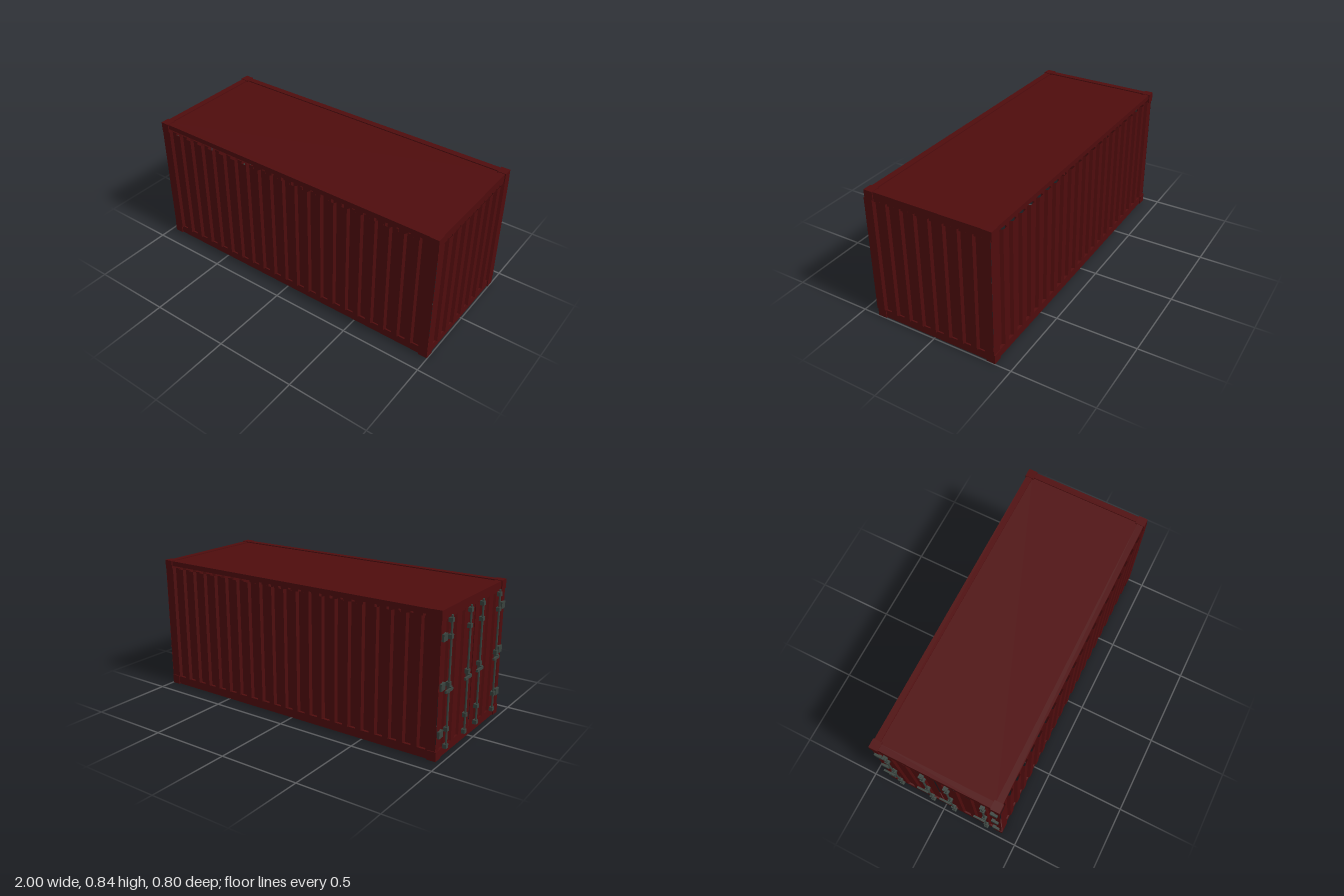
import * as THREE from 'three';

const paint = new THREE.MeshStandardMaterial({ color: 0x4f0c0d, side: THREE.DoubleSide });
paint.name = 'dark red paint';
const steel = new THREE.MeshStandardMaterial({ color: 0x38423d });
steel.name = 'dark grey steel';

// Box given by its minimum and maximum corners
function box(parent, name, mat, [x0, y0, z0], [x1, y1, z1]) {
  const m = new THREE.Mesh(new THREE.BoxGeometry(x1 - x0, y1 - y0, z1 - z0), mat);
  m.position.set((x0 + x1) / 2, (y0 + y1) / 2, (z0 + z1) / 2);
  m.name = name;
  parent.add(m);
  return m;
}

// Trapezoid-corrugated sheet facing +z: ridges at z = 0, recesses at z = -depth
function corrugated(name, length, y0, y1, count, pitch, depth) {
  const pts = [[-length / 2, 0]];
  for (let i = 0; i < count; i++) {
    const c = (i - (count - 1) / 2) * pitch;
    pts.push([c - pitch * 0.3, 0], [c - pitch * 0.2, -depth],
      [c + pitch * 0.2, -depth], [c + pitch * 0.3, 0]);
  }
  pts.push([length / 2, 0]);
  const v = [];
  for (let i = 0; i + 1 < pts.length; i++) {
    const [a, d] = pts[i], [b, e] = pts[i + 1];
    v.push(a, y0, d, b, y0, e, b, y1, e, a, y0, d, b, y1, e, a, y1, d);
  }
  const g = new THREE.BufferGeometry();
  g.setAttribute('position', new THREE.Float32BufferAttribute(v, 3));
  g.computeVertexNormals();
  const m = new THREE.Mesh(g, paint);
  m.name = name;
  return m;
}

export function createModel() {
  const model = new THREE.Group();
  model.name = 'shippingContainer';
  const X0 = -0.97, X1 = 0.997, Z0 = -0.4, Z1 = 0.397, H = 0.838;
  const midX = (X0 + X1) / 2;

  // Corrugated walls
  const walls = new THREE.Group();
  walls.name = 'walls';
  model.add(walls);
  const front = corrugated('frontWall', 1.962, 0.05, 0.79, 21, 0.0895, 0.018);
  front.position.set(midX + 0.004, 0, 0.4);
  const back = corrugated('backWall', 1.962, 0.05, 0.79, 21, 0.0895, 0.018);
  back.position.set(midX + 0.004, 0, -0.395);
  back.rotation.y = Math.PI;
  const end = corrugated('endWall', 0.795, 0.05, 0.79, 8, 0.0903, 0.018);
  end.position.set(1, 0, 0.0025);
  end.rotation.y = Math.PI / 2;
  walls.add(front, back, end);

  // Corner castings
  const castings = new THREE.Group();
  castings.name = 'cornerCastings';
  model.add(castings);
  for (const x of [X0, X1 - 0.055])
    for (const z of [Z0, Z1 - 0.056])
      for (const y of [0, H - 0.056])
        box(castings, 'cornerCasting', paint, [x, y, z], [x + 0.055, y + 0.056, z + 0.056]);

  // Bottom and top frame rails; the long top rails leave a slot above the walls
  const frame = new THREE.Group();
  frame.name = 'frameRails';
  model.add(frame);
  const w = 0.045, s = 0.006;
  for (const [y0, y1, yEnd] of [[0.002, 0.053, 0.002], [0.805, H - 0.003, 0.777]]) {
    box(frame, 'frontRail', paint, [X0 + 0.05, y0, Z1 - w], [X1 - 0.05, y1, Z1 - s]);
    box(frame, 'backRail', paint, [X0 + 0.05, y0, Z0 + s], [X1 - 0.05, y1, Z0 + w]);
    box(frame, 'endRail', paint, [X1 - w, yEnd, Z0 + 0.05], [X1 - s, y1, Z1 - 0.05]);
    box(frame, 'doorRail', paint, [X0 + s, yEnd, Z0 + 0.05], [X0 + w, y1, Z1 - 0.05]);
  }

  // Roof sheet, a little below the rails
  box(model, 'roof', paint, [X0 + 0.04, 0.815, Z0 + 0.04], [X1 - 0.04, 0.829, Z1 - 0.04]);

  // Two doors with a narrow gap between them
  const doors = new THREE.Group();
  doors.name = 'doors';
  model.add(doors);
  for (const side of [-1, 1]) {
    const door = corrugated('doorPanel', 0.39, 0.05, 0.785, 4, 0.09, 0.012);
    door.position.set(-0.966, 0, side * 0.2);
    door.rotation.y = -Math.PI / 2;
    doors.add(door);
  }

  // Locking bars with brackets and handles
  const hardware = new THREE.Group();
  hardware.name = 'doorHardware';
  model.add(hardware);
  for (const z of [-0.305, -0.08, 0.07, 0.295]) {
    const bar = new THREE.Mesh(new THREE.CylinderGeometry(0.006, 0.006, 0.75, 10), steel);
    bar.position.set(-0.98, 0.422, z);
    bar.name = 'lockingBar';
    hardware.add(bar);
    for (const y of [0.06, 0.16, 0.42, 0.68, 0.77])
      box(hardware, 'barBracket', steel, [-0.988, y - 0.012, z - 0.013], [-0.964, y + 0.012, z + 0.013]);
    box(hardware, 'handleHub', steel, [-0.996, 0.383, z - 0.011], [-0.972, 0.408, z + 0.011]);
    box(hardware, 'handle', steel, [-1, 0.388, z - 0.064], [-0.988, 0.402, z + 0.011]);
  }

  // Hinges along the outer door edges
  for (const z of [-0.365, 0.36])
    for (const y of [0.15, 0.42, 0.69]) {
      box(hardware, 'hinge', steel, [-0.979, y - 0.02, z - 0.022], [-0.962, y + 0.02, z + 0.022]);
    }
  return model;
}
